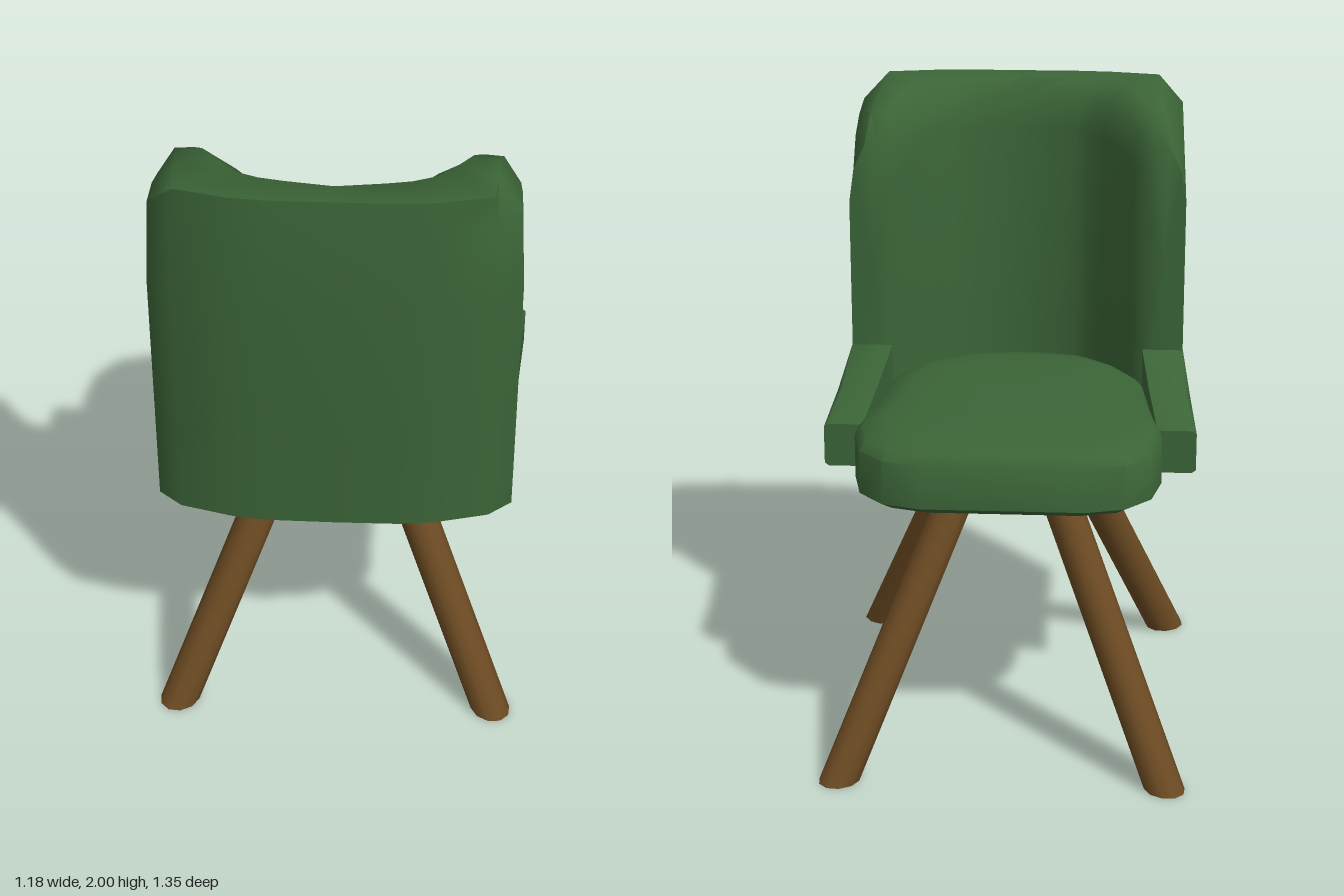
import * as THREE from 'three';
import { toCreasedNormals } from 'three/addons/utils/BufferGeometryUtils.js';

const green = new THREE.MeshStandardMaterial({ color: 0x3b6437 });
const wood = new THREE.MeshStandardMaterial({ color: 0x6b4a22 });

// Joins closed rings of [x, y, z] points, caps both ends and faces outward.
function loft(rings, crease) {
  const n = rings[0].length;
  const pts = rings.flat();
  const tris = [];
  for (let i = 0; i < rings.length - 1; i++) {
    for (let j = 0; j < n; j++) {
      const a = i * n + j, b = i * n + (j + 1) % n;
      tris.push([a, b, a + n], [b, b + n, a + n]);
    }
  }
  [0, rings.length - 1].forEach((r) => {
    const centre = [0, 1, 2].map((k) => rings[r].reduce((s, p) => s + p[k], 0) / n);
    const c = pts.push(centre) - 1;
    for (let j = 0; j < n; j++) {
      const a = r * n + j, b = r * n + (j + 1) % n;
      tris.push(r ? [c, a, b] : [c, b, a]);
    }
  });
  const v = pts.map((p) => new THREE.Vector3(...p));
  const volume = tris.reduce((s, [a, b, c]) => s + v[a].dot(v[b].clone().cross(v[c])), 0);
  if (volume < 0) tris.forEach((t) => t.reverse());
  const geo = new THREE.BufferGeometry().setFromPoints(v);
  geo.setIndex(tris.flat());
  return toCreasedNormals(geo, crease);
}

function add(group, name, geo, material) {
  const mesh = new THREE.Mesh(geo, material);
  mesh.name = name;
  group.add(mesh);
}

// Cushion: a rounded plan outline stacked in layers [y, scale].
function seatGeometry() {
  const half = [[0, -0.535], [0.25, -0.535], [0.37, -0.5], [0.45, -0.41], [0.48, -0.27], [0.475, -0.18],
    [0.455, -0.08], [0.425, 0.2], [0.36, 0.4], [0.2, 0.51], [0, 0.54]];
  const outline = [...half, ...half.slice(1, -1).reverse().map(([x, z]) => [-x, z])];
  const layers = [[0.845, 0.4], [0.847, 0.76], [0.86, 0.93], [0.885, 1], [1.025, 1], [1.055, 0.95],
    [1.073, 0.8], [1.08, 0.6], [1.08, 0.3]];
  return loft(layers.map(([y, s]) => outline.map(([x, z]) => [x * s, y, z * s])), 0.9);
}

// Wraparound back: stations hold outer x, z, inner x, z and rim height.
function backGeometry() {
  const half = [
    [0.543, 0.21, 0.41, 0.21, 1.84], [0.544, 0.3, 0.375, 0.255, 1.93], [0.544, 0.42, 0.33, 0.31, 1.975],
    [0.542, 0.55, 0.27, 0.385, 2], [0.47, 0.61, 0.22, 0.445, 2], [0.31, 0.652, 0.18, 0.47, 2],
    [0.2, 0.665, 0.12, 0.485, 2], [0, 0.667, 0, 0.512, 2]];
  const station = ([ox, oz, ix, iz, h]) => {
    const t = Math.hypot(ox - ix, oz - iz);
    const at = (inset, y) => {
      const k = inset / t;
      return [ox + (ix - ox) * k, y, oz + (iz - oz) * k];
    };
    const rim = oz > 0.6 ? 0.025 : Math.min(0.1, t * 0.4);
    return [at(0, 0.84), at(0, 1.17), at(0, 1.65), at(0.016, h - 0.08), at(rim, h),
      at(t * 0.72, h - 0.005), at(t * 0.93, h - 0.06), at(t, h - 0.16), at(t, 1.17), at(t, 0.84)];
  };
  const mirrored = half.slice(0, -1).reverse().map(([ox, oz, ix, iz, h]) => [-ox, oz, -ix, iz, h]);
  return loft([...half, ...mirrored].map(station), 0.95);
}

// Low arm: tapers forward from the wing of the back.
function armGeometry(side) {
  const ring = (z, inner, outer, edge, bottom, low, high, top) => [
    [inner, bottom], [edge, bottom], [outer, low], [outer, high], [edge, top], [inner, top],
  ].map(([x, y]) => [x * side, y, z]);
  return loft([
    ring(0.22, 0.41, 0.544, 0.543, 0.84, 0.86, 1.15, 1.17),
    ring(0.01, 0.435, 0.568, 0.55, 0.862, 0.88, 1.075, 1.1),
    ring(-0.19, 0.465, 0.588, 0.575, 0.89, 0.9, 1.02, 1.03),
  ], 0.95);
}

// Splayed leg: a round bar sheared so that its foot stays flat.
function legGeometry(sx, sz) {
  const height = 0.88;
  const geo = new THREE.CylinderGeometry(0.06, 0.06, height, 10);
  geo.scale(1.15, 1, 1);
  geo.rotateY(-Math.atan2(sz, sx));
  geo.translate(0, height / 2, 0);
  const p = geo.attributes.position;
  for (let i = 0; i < p.count; i++) {
    const k = p.getY(i) / 0.84;
    p.setX(i, p.getX(i) + sx * (0.508 - 0.348 * k));
    p.setZ(i, p.getZ(i) + sz * (0.614 - 0.347 * k));
  }
  return toCreasedNormals(geo, 0.9);
}

export function createModel() {
  const chair = new THREE.Group();
  chair.name = 'chair';
  add(chair, 'seatCushion', seatGeometry(), green);
  add(chair, 'backrest', backGeometry(), green);
  for (const sx of [1, -1]) {
    const side = sx > 0 ? 'left' : 'right';
    add(chair, side + 'Arm', armGeometry(sx), green);
    for (const sz of [1, -1]) {
      add(chair, side + (sz > 0 ? 'LegUnderBack' : 'LegUnderSeat'), legGeometry(sx, sz), wood);
    }
  }
  return chair;
}
